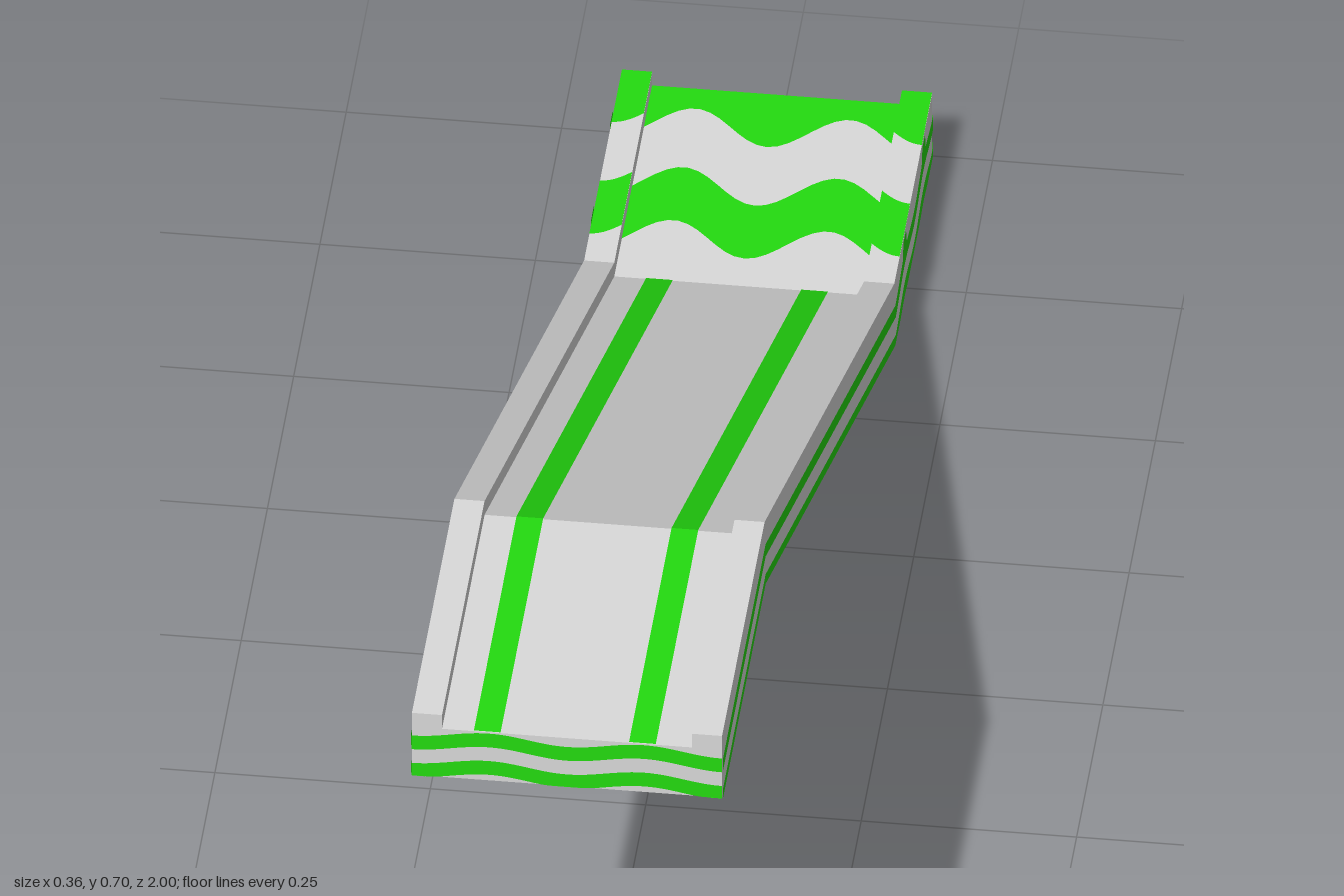
import * as THREE from 'three';

const HALF = 0.18, RAIL = 0.035, FLOOR = 0.07, TOP = 0.09, RISE = 0.604;
const Z_FRONT = 1, Z_HIGH = 0.595, Z_LOW = -0.64, Z_BACK = -1;
const LIFT = 0.0012; // paint thickness above the surface
const PERIOD = 0.18;

const grey = new THREE.MeshStandardMaterial({ color: 0xdadada });
grey.name = 'light grey';
const green = new THREE.MeshStandardMaterial({ color: 0x24dc10, side: THREE.DoubleSide });
green.name = 'bright green';

// Underside points of the run as [z, y]
const RUN = [[Z_BACK, 0], [Z_LOW, 0], [Z_HIGH, RISE], [Z_FRONT, RISE]];

// Bent slab following the run, between two heights above its underside
function slab(x0, x1, low, high) {
  const shape = new THREE.Shape([
    ...RUN.map(([z, y]) => new THREE.Vector2(z, y + low)),
    ...RUN.slice().reverse().map(([z, y]) => new THREE.Vector2(z, y + high)),
  ]);
  const geo = new THREE.ExtrudeGeometry(shape, { depth: x1 - x0, bevelEnabled: false });
  geo.rotateY(-Math.PI / 2);
  geo.translate(x1, 0, 0);
  return geo;
}

// Flat painted strip: edges(t) gives the two opposite points at each step
function strip(ts, edges) {
  const pos = [], idx = [];
  ts.forEach((t, i) => {
    const [a, b] = edges(t);
    pos.push(...a, ...b);
    if (i) {
      const k = 2 * i;
      idx.push(k - 2, k, k - 1, k - 1, k, k + 1);
    }
  });
  const geo = new THREE.BufferGeometry();
  geo.setAttribute('position', new THREE.Float32BufferAttribute(pos, 3));
  geo.setIndex(idx);
  const flat = geo.toNonIndexed();
  flat.computeVertexNormals();
  return flat;
}

const steps = (a, b, n) => Array.from({ length: n + 1 }, (_, i) => a + (b - a) * i / n);
const clamp = THREE.MathUtils.clamp;

export function createModel() {
  const model = new THREE.Group();
  const add = (name, geo, mat) => {
    const mesh = new THREE.Mesh(geo, mat);
    mesh.name = name;
    model.add(mesh);
  };

  // Bed and side rails
  add('slideBed', slab(-HALF, HALF, 0, FLOOR), grey);
  add('leftRail', slab(HALF - RAIL, HALF, FLOOR, TOP), grey);
  add('rightRail', slab(-HALF, -HALF + RAIL, FLOOR, TOP), grey);

  // Straight stripes along the floor and underside
  const upper = RUN.slice(1);
  const lengthStripe = (name, x0, x1, h) => add(name,
    strip(upper, ([z, y]) => [[x0, y + h, z], [x1, y + h, z]]), green);
  lengthStripe('floorStripeRight', -0.108, -0.077, FLOOR + LIFT);
  lengthStripe('floorStripeLeft', 0.072, 0.103, FLOOR + LIFT);
  lengthStripe('undersideStripeRight', -HALF, -0.165, -LIFT);
  lengthStripe('undersideStripeMiddle', -0.018, 0.015, -LIFT);
  lengthStripe('undersideStripeLeft', 0.163, HALF, -LIFT);

  // Zigzag bands across the lower landing: floor, rail tops and underside
  const zWave = x => 0.031 * Math.cos(2 * Math.PI * x / PERIOD);
  const crossBand = (name, centre, x0, x1, y) => add(name,
    strip(steps(x0, x1, 24), x => [-0.05, 0.05].map(d =>
      [x, y, clamp(centre + zWave(x) + d, Z_BACK, Z_LOW)])), green);
  const inner = HALF - RAIL;
  for (const centre of [-0.982, -0.771]) {
    crossBand('landingFloorBand', centre, -inner, inner, FLOOR + LIFT);
    crossBand('leftRailTopBand', centre, inner, HALF, TOP + LIFT);
    crossBand('rightRailTopBand', centre, -HALF, -inner, TOP + LIFT);
    crossBand('landingUndersideBand', centre, -HALF, HALF, -LIFT);
  }

  // Wavy bands on the two end faces
  const yWave = t => -0.0055 * Math.cos(2 * Math.PI * t / PERIOD);
  const endBand = (name, base, mid, z) => add(name,
    strip(steps(-HALF, HALF, 48), x => [-0.01, 0.01].map(d =>
      [x, base + clamp(mid + yWave(x) + d, 0, FLOOR), z])), green);
  for (const mid of [0.0135, 0.0535]) {
    endBand('frontEndBand', RISE, mid, Z_FRONT + LIFT);
    endBand('backEndBand', 0, mid, Z_BACK - LIFT);
  }

  // Side markings, mirrored
  for (const s of [1, -1]) {
    const x = s * (HALF + LIFT), side = s > 0 ? 'left' : 'right';
    // Straight lines along the slope and upper landing
    for (const [low, high] of [[0, 0.014], [0.04, 0.058]]) {
      add(side + 'SideStripe',
        strip(upper, ([z, y]) => [[x, y + low, z], [x, y + high, z]]), green);
    }
    // Wavy lines along the lower landing
    for (const [low, high] of [[-0.008, 0.012], [0.038, 0.058]]) {
      add(side + 'SideWave', strip(steps(Z_BACK, Z_LOW, 40), z => [low, high].map(h =>
        [x, clamp(h + 0.0055 + yWave(z + 0.82), 0, FLOOR), z])), green);
    }
    // Small peaks on the rail
    for (const z of [-0.73, -0.91]) {
      add(side + 'RailPeak', strip([-1, 0, 1], t =>
        [[x, FLOOR - 0.004, z + t * 0.02], [x, TOP, z + t * 0.012]]), green);
    }
  }
  return model;
}
